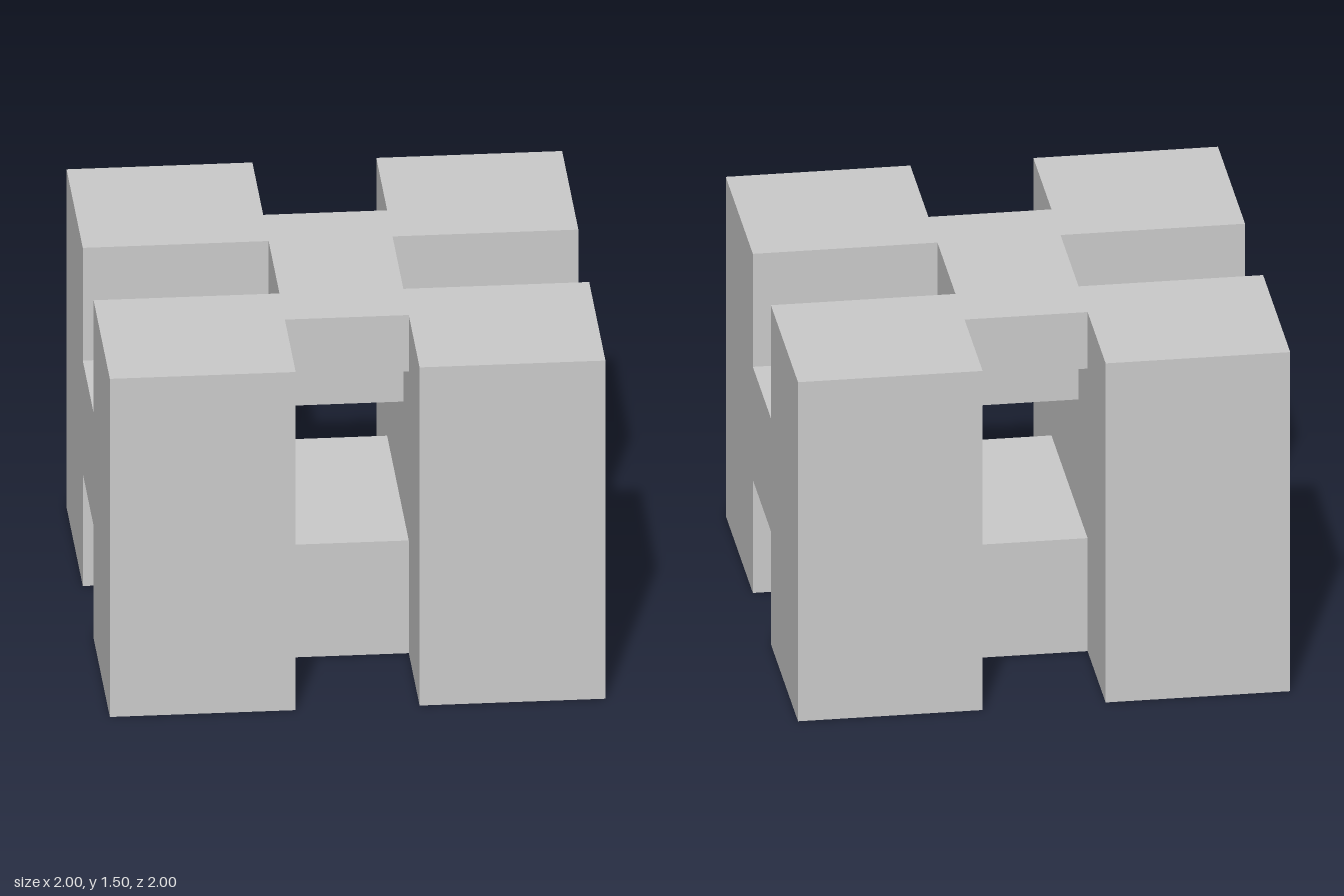
import * as THREE from 'three';

const material = new THREE.MeshStandardMaterial({ color: 0xcccccc, flatShading: true });

// Extrudes a profile drawn in (z, y) along x, from x0 to x1.
function slab(name, points, x0, x1) {
  const shape = new THREE.Shape(points.map(([z, y]) => new THREE.Vector2(z, y)));
  const geometry = new THREE.ExtrudeGeometry(shape, { depth: x1 - x0, bevelEnabled: false });
  geometry.rotateY(Math.PI / 2).translate(x0, 0, 0);
  const mesh = new THREE.Mesh(geometry, material);
  mesh.name = name;
  return mesh;
}

// Completes a symmetric profile from its +z half, listed bottom to top.
const mirrored = (half) => [...half, ...half.map(([z, y]) => [-z, y]).reverse()];

export function createModel() {
  const group = new THREE.Group();
  group.name = 'interlockingBlock';

  // Two H-shaped sides: a pair of pillars joined by a crossbeam
  const hProfile = mirrored([[0.25, 0.5], [0.25, 0], [1, 0], [1, 1.5], [0.25, 1.5], [0.25, 1]]);
  group.add(slab('leftSide', hProfile, 0.25, 1));
  group.add(slab('rightSide', hProfile, -1, -0.25));

  // Lower bridge between the sides
  group.add(slab('lowerBridge', mirrored([[0.5, 0], [0.5, 0.5]]), -0.25, 0.25));

  // Upper bridge with a narrower rib below it
  const tProfile = mirrored([[0.25, 1], [0.25, 1.25], [0.5, 1.25], [0.5, 1.5]]);
  group.add(slab('upperBridge', tProfile, -0.25, 0.25));

  return group;
}
